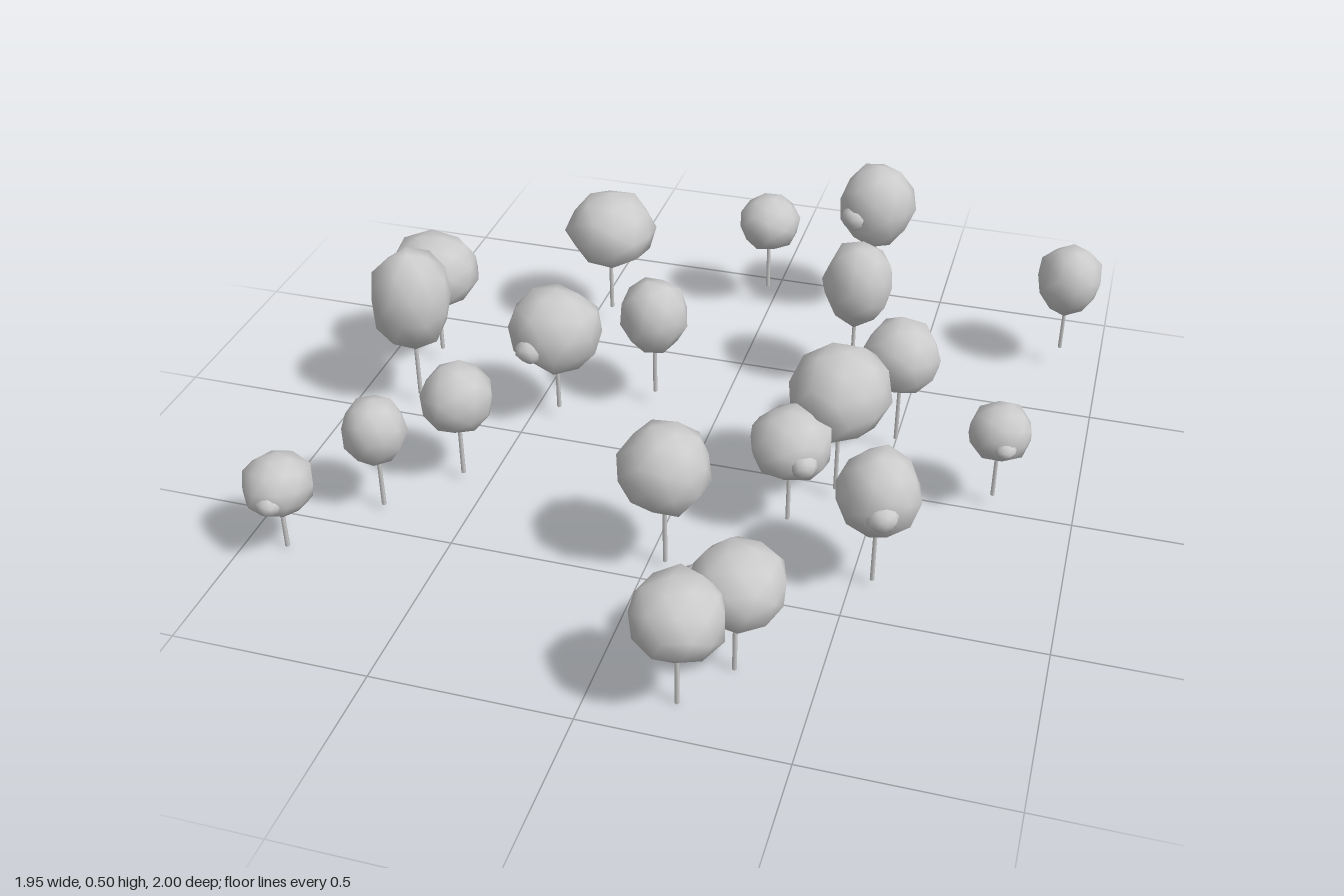
import * as THREE from 'three';
import { mergeVertices } from 'three/addons/utils/BufferGeometryUtils.js';

const material = new THREE.MeshStandardMaterial({ color: 0xcccccc });

// small seeded generator for the crown irregularities
function seeded(seed) {
  let s = seed * 7919 + 17;
  return () => {
    s = (s * 16807) % 2147483647;
    return s / 2147483647;
  };
}

// lumpy smooth ball with the given half width and half height
function lumpyBall(radius, halfHeight, seed) {
  const rand = seeded(seed);
  for (let i = 0; i < 5; i++) rand();
  let g = new THREE.IcosahedronGeometry(1, 1);
  g.deleteAttribute('normal');
  g.deleteAttribute('uv');
  g = mergeVertices(g, 1e-3);
  g.rotateY(rand() * Math.PI * 2);
  g.rotateX(rand() * Math.PI * 2);
  const p = g.attributes.position;
  for (let i = 0; i < p.count; i++) {
    const k = 1 + (rand() - 0.5) * 0.12;
    p.setXYZ(i, p.getX(i) * k, p.getY(i) * k, p.getZ(i) * k);
  }
  g.center();
  const b = g.boundingBox.max;
  g.scale(radius / b.x, halfHeight / b.y, radius / b.z);
  g.computeVertexNormals();
  return g;
}

// each tree: x, z, crown radius, crown bottom, crown top, leaf clump bearing in degrees
const trees = [
  [-0.01, -0.845, 0.088, 0.2, 0.37],
  [0.305, -0.89, 0.112, 0.24, 0.49, 125],
  [0.885, -0.745, 0.088, 0.19, 0.385],
  [-0.435, -0.615, 0.129, 0.22, 0.435],
  [0.328, -0.468, 0.098, 0.22, 0.46],
  [-0.845, -0.28, 0.122, 0.2, 0.41],
  [-0.82, -0.058, 0.111, 0.2, 0.5],
  [-0.185, -0.238, 0.096, 0.185, 0.395],
  [-0.422, -0.1, 0.121, 0.17, 0.4, 113],
  [0.505, -0.2, 0.102, 0.2, 0.41],
  [0.79, -0.03, 0.079, 0.155, 0.31, 70],
  [0.392, 0.05, 0.131, 0.215, 0.465, 238],
  [0.3, 0.2, 0.102, 0.17, 0.355, 55],
  [-0.57, 0.24, 0.095, 0.165, 0.355],
  [-0.72, 0.415, 0.082, 0.16, 0.34],
  [-0.888, 0.628, 0.09, 0.125, 0.28, 80],
  [0.045, 0.435, 0.113, 0.19, 0.415, 239],
  [0.552, 0.368, 0.105, 0.17, 0.4, 73],
  [0.305, 0.748, 0.113, 0.155, 0.355, 187],
  [0.208, 0.887, 0.111, 0.155, 0.355],
];

// the ground falls gently towards the front
const groundHeight = (z) => Math.max(0, 0.032 - 0.04 * z);

function add(group, geometry, name, x, y, z) {
  const mesh = new THREE.Mesh(geometry, material);
  mesh.name = name;
  mesh.position.set(x, y, z);
  group.add(mesh);
}

export function createModel() {
  const model = new THREE.Group();
  model.name = 'grove';
  trees.forEach(([x, z, radius, bottom, top, bearing], i) => {
    const tree = new THREE.Group();
    tree.name = `tree${i + 1}`;
    tree.position.set(x, 0, z);
    const middle = (bottom + top) / 2;
    const foot = groundHeight(z);

    // thin trunk reaching into the crown
    const trunk = new THREE.CylinderGeometry(0.005, 0.006, middle - foot, 6);
    add(tree, trunk, 'trunk', 0, (middle + foot) / 2, 0);

    // main crown
    add(tree, lumpyBall(radius, (top - bottom) / 2, i + 1), 'crown', 0, middle, 0);

    // smaller clump poking out of the side of the crown
    if (bearing !== undefined) {
      const angle = THREE.MathUtils.degToRad(bearing);
      const reach = radius * 0.8;
      add(tree, lumpyBall(radius * 0.36, radius * 0.32, i + 40), 'leafClump',
        Math.cos(angle) * reach, middle - radius * 0.1, Math.sin(angle) * reach);
    }
    model.add(tree);
  });
  return model;
}
